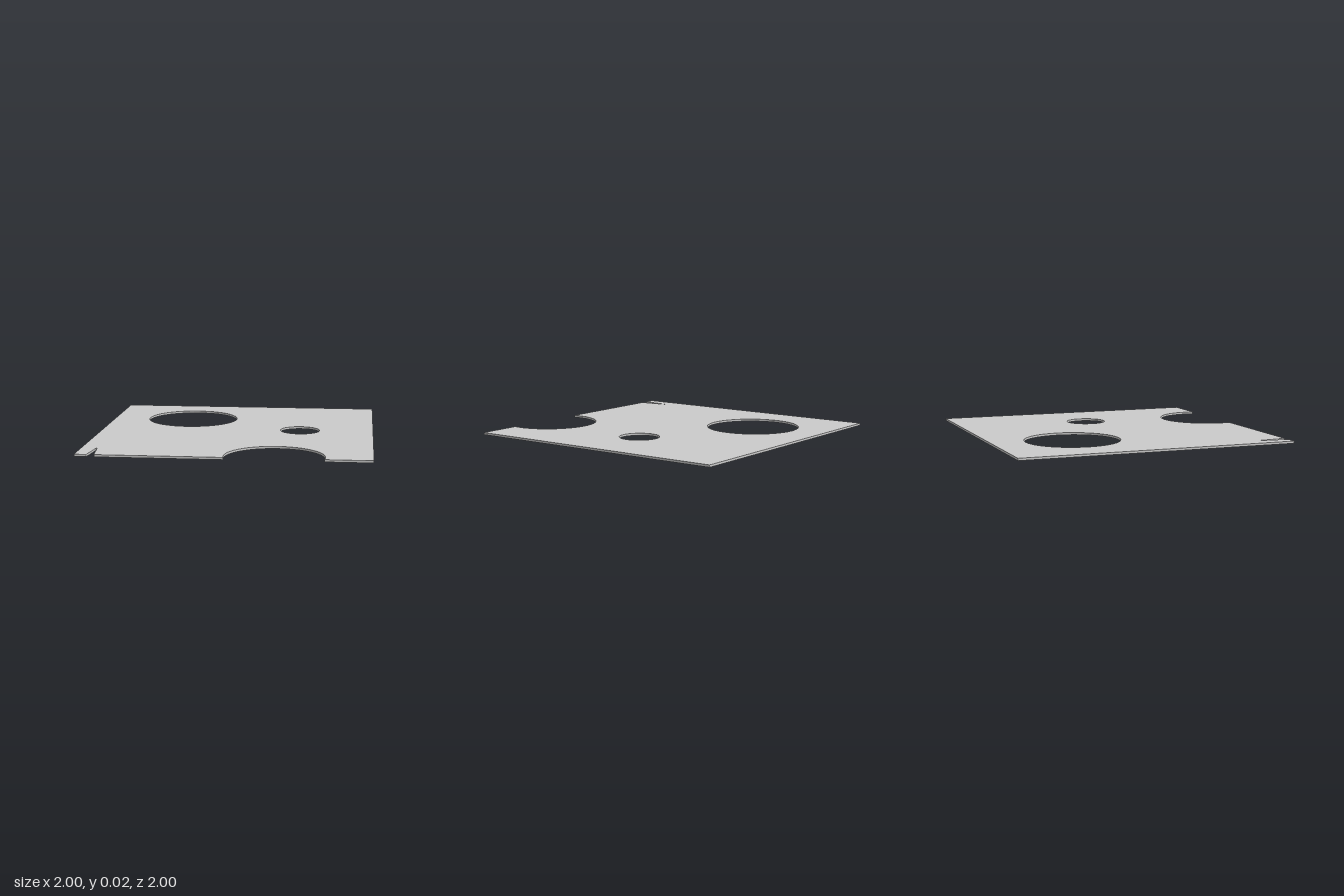
import * as THREE from 'three';

const THICKNESS = 0.016;

// Outline is drawn in (x, -z) and later laid flat.
function plateShape() {
  const shape = new THREE.Shape();
  shape.moveTo(-1, -1);
  // narrow tapered slit in the front edge
  shape.lineTo(-0.916, -1);
  shape.lineTo(-0.896, -0.783);
  shape.lineTo(-0.889, -0.783);
  shape.lineTo(-0.864, -1);
  // round bite out of the front edge
  const r = 0.34, cx = 0.341, cy = -0.94;
  const dip = Math.asin((1 + cy) / r);
  shape.absarc(cx, cy, r, Math.PI + dip, -dip, true);
  shape.lineTo(1, -1);
  shape.lineTo(1, 1);
  shape.lineTo(-1, 1);
  shape.closePath();

  // round through-holes: x, z, radius
  for (const [x, z, radius] of [[-0.392, -0.422, 0.34], [0.462, -0.015, 0.145]]) {
    const hole = new THREE.Path();
    hole.absarc(x, -z, radius, 0, Math.PI * 2, true);
    shape.holes.push(hole);
  }
  return shape;
}

export function createModel() {
  const group = new THREE.Group();
  group.name = 'perforatedPlate';
  const geometry = new THREE.ExtrudeGeometry(plateShape(), {
    depth: THICKNESS, bevelEnabled: false, curveSegments: 24,
  });
  geometry.rotateX(-Math.PI / 2);
  const plate = new THREE.Mesh(geometry, new THREE.MeshStandardMaterial({ color: 0xcccccc }));
  plate.name = 'plate';
  group.add(plate);
  return group;
}
